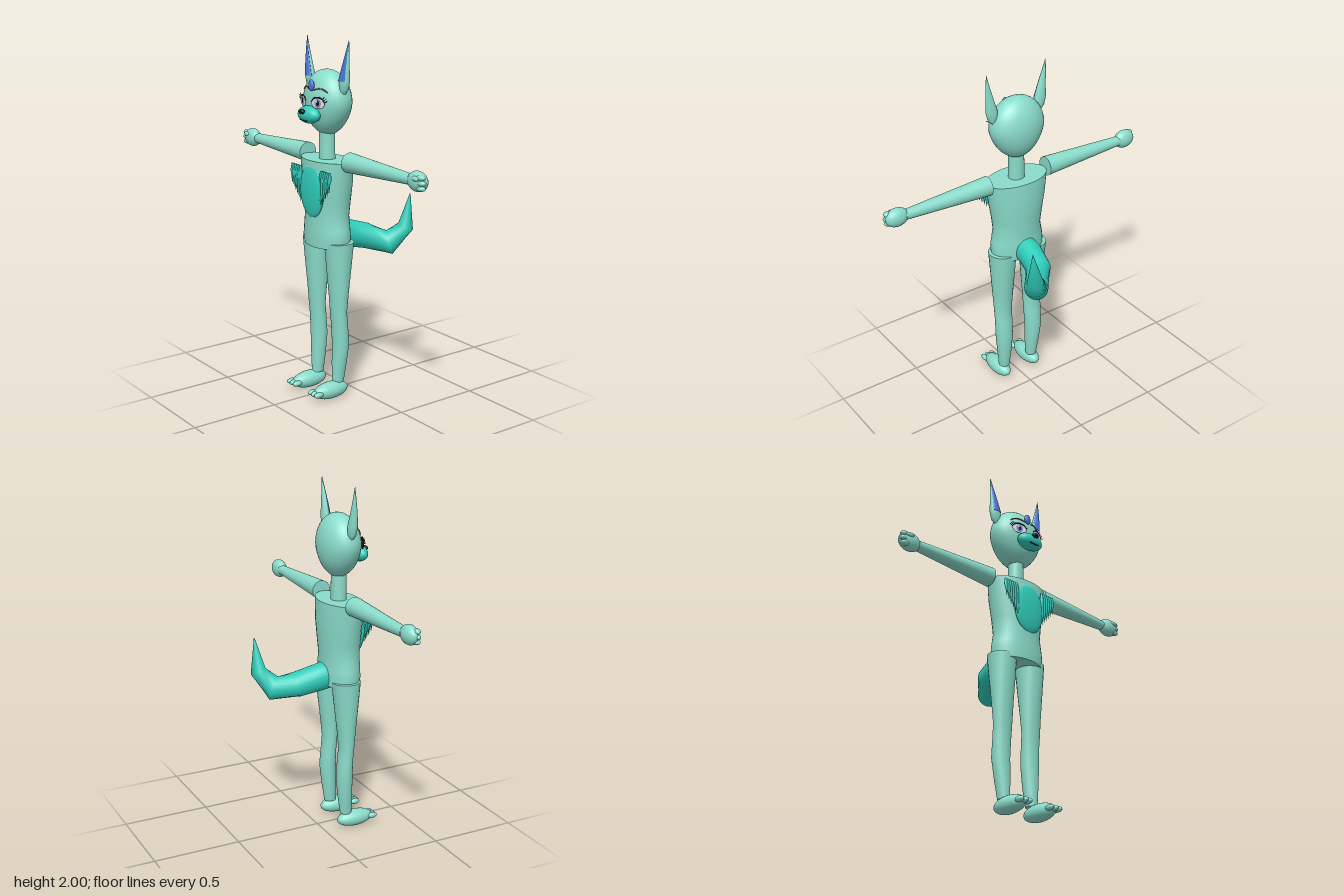
import * as THREE from 'three';

const mat = (name, color, side = THREE.FrontSide) => {
  const m = new THREE.MeshStandardMaterial({ color, side });
  m.name = name;
  return m;
};

// Lofts elliptical rings [x, y, z, ru, rv]; rings lie level, or square to the path when follow is set
function loft(rings, follow = false, n = 24) {
  const pos = [], idx = [];
  const centre = rings.map(r => new THREE.Vector3(r[0], r[1], r[2]));
  rings.forEach((r, i) => {
    const d = new THREE.Vector3(0, 1, 0);
    if (follow) {
      d.set(0, 0, 0);
      if (i > 0) d.add(centre[i].clone().sub(centre[i - 1]).normalize());
      if (i < rings.length - 1) d.add(centre[i + 1].clone().sub(centre[i]).normalize());
      d.normalize();
    }
    const u = new THREE.Vector3(1, 0, 0).addScaledVector(d, -d.x).normalize();
    const v = u.clone().cross(d);
    for (let j = 0; j < n; j++) {
      const a = j / n * Math.PI * 2;
      const p = centre[i].clone().addScaledVector(u, r[3] * Math.cos(a)).addScaledVector(v, r[4] * Math.sin(a));
      pos.push(p.x, p.y, p.z);
    }
  });
  for (let i = 0; i < rings.length - 1; i++) for (let j = 0; j < n; j++) {
    const k = (j + 1) % n, a = i * n + j, b = i * n + k;
    idx.push(a, a + n, b, b, a + n, b + n);
  }
  // flat end caps with their own vertices
  [0, rings.length - 1].forEach((i, end) => {
    const s = pos.length / 3;
    pos.push(...centre[i].toArray(), ...pos.slice(i * n * 3, (i + 1) * n * 3));
    for (let j = 0; j < n; j++) {
      const a = s + 1 + j, b = s + 1 + (j + 1) % n;
      end ? idx.push(s, b, a) : idx.push(s, a, b);
    }
  });
  const g = new THREE.BufferGeometry();
  g.setAttribute('position', new THREE.Float32BufferAttribute(pos, 3));
  g.setIndex(idx);
  g.computeVertexNormals();
  return g;
}

// Front surfaces of the head and muzzle, for laying details on them
const headRadius = y => {
  const t = (y - 1.66) / (y > 1.66 ? 0.175 : 0.18);
  const c = Math.sqrt(Math.max(0, 1 - t * t));
  return [0.165 * c * (t < 0 ? 1 + 0.2 * t : 1), 0.113 * c];
};
const headZ = (x, y) => {
  const [a, b] = headRadius(y);
  return 0.128 + b * Math.sqrt(Math.max(0, 1 - (x / a) ** 2));
};
const muzzleZ = (x, y) => 0.25 + 0.045 * Math.sqrt(Math.max(0, 1 - (x / 0.085) ** 2 - ((y - 1.6) / 0.047) ** 2));

export function createModel() {
  const root = new THREE.Group();
  const mint = mat('mint fur', 0x8adccb);
  const teal = mat('teal fur', 0x2fcdbb);
  const blue = mat('blue', 0x4a78d8);
  const black = mat('black', 0x1a1218, THREE.DoubleSide);
  const white = mat('eye white', 0xf4f0f4);
  const brown = mat('brow brown', 0x8a4a48);
  const iris = mat('iris blue', 0x6f9be8);

  const add = (name, geo, m, parent = root) => {
    const mesh = new THREE.Mesh(geo, m);
    mesh.name = name;
    parent.add(mesh);
    return mesh;
  };
  const ball = (name, m, p, r, parent = root) => {
    const b = add(name, new THREE.SphereGeometry(1, 24, 16), m, parent);
    b.position.set(...p);
    b.scale.set(...r);
    return b;
  };
  const line = (name, m, pts, r, parent = root) => add(name, new THREE.TubeGeometry(
    new THREE.CatmullRomCurve3(pts.map(p => new THREE.Vector3(...p))), 14, r, 6), m, parent);

  // torso and neck
  add('torso', loft([
    [0, 0.87, 0.135, 0.158, 0.105], [0, 0.92, 0.135, 0.165, 0.108], [0, 0.97, 0.135, 0.16, 0.106],
    [0, 1.04, 0.135, 0.146, 0.106], [0, 1.12, 0.134, 0.155, 0.112], [0, 1.24, 0.133, 0.176, 0.118],
    [0, 1.35, 0.133, 0.19, 0.112]], false, 32), mint);
  add('neck', loft([[0, 1.33, 0.132, 0.047, 0.043], [0, 1.52, 0.132, 0.043, 0.043]]), mint);

  // egg-shaped head
  const headRings = [];
  for (let i = 0; i <= 20; i++) {
    const y = 1.66 - 0.178 * Math.cos(i / 20 * Math.PI);
    const [a, b] = headRadius(y);
    headRings.push([0, y, 0.128, Math.max(a, 0.001), Math.max(b, 0.001)]);
  }
  add('head', loft(headRings, false, 32), mint);

  // muzzle, nose, mouth and forehead gem
  ball('muzzle', teal, [0, 1.6, 0.25], [0.085, 0.047, 0.045]);
  ball('nose', black, [0, 1.621, 0.296], [0.021, 0.014, 0.014]);
  line('mouth', black, [-0.033, -0.016, 0, 0.016, 0.033].map(x => {
    const y = 1.571 + 3 * x * x;
    return [x, y, muzzleZ(x, y) + 0.001];
  }), 0.003);
  ball('foreheadGem', blue, [0, 1.755, headZ(0, 1.755) + 0.01], [0.021, 0.031, 0.013]);

  // belly patch
  ball('bellyPatch', teal, [0, 1.182, 0.235], [0.105, 0.148, 0.026]);

  // tail
  add('tail', loft([
    [0, 0.92, 0.06, 0.07, 0.08], [0, 0.91, 0, 0.07, 0.078], [0.025, 0.882, -0.11, 0.07, 0.072],
    [0.115, 0.845, -0.215, 0.066, 0.07], [0.172, 0.94, -0.285, 0.045, 0.045],
    [0.195, 1.13, -0.295, 0.002, 0.002]], true), teal);

  for (const s of [1, -1]) {
    const side = s > 0 ? 'left' : 'right';
    const part = name => {
      const g = new THREE.Group();
      g.name = side + name;
      root.add(g);
      return g;
    };

    // ear with a blue inner face
    const ear = part('Ear');
    const earRings = [
      [0.145, 1.715, 0.13, 0.014, 0.012], [0.15, 1.74, 0.13, 0.03, 0.022], [0.156, 1.785, 0.13, 0.035, 0.025],
      [0.168, 1.86, 0.13, 0.023, 0.017], [0.179, 1.93, 0.128, 0.012, 0.009], [0.188, 2, 0.125, 0.001, 0.001]];
    add('earShell', loft(earRings.map(([x, ...r]) => [s * x, ...r])), mint, ear);
    add('innerEar', loft(earRings.slice(2).map(([x, y, z, a, b]) =>
      [s * (x - a * 0.08), y, z + b * 0.62, a * 0.8, b * 0.5])), blue, ear);

    // layered eye
    const eye = part('Eye');
    eye.position.set(s * 0.068, 1.667, headZ(0.068, 1.667) + 0.008);
    eye.rotation.y = s * 0.29;
    const disc = (name, m, x, y, a, b, z) => {
      const d = add(name, new THREE.CircleGeometry(1, 28), m, eye);
      d.scale.set(a, b, 1);
      d.position.set(x, y, z);
    };
    disc('eyeOutline', black, 0, 0, 0.045, 0.031, 0);
    disc('eyeWhite', white, 0, -0.001, 0.042, 0.027, 0.0015);
    disc('iris', iris, 0, 0, 0.021, 0.026, 0.003);
    disc('pupil', black, 0, 0, 0.01, 0.016, 0.0045);
    disc('glint', white, -0.007, 0.01, 0.006, 0.007, 0.006);
    line('upperLid', black, [[-0.044, 0.006, 0.002], [-0.025, 0.026, 0.002], [0, 0.032, 0.002],
      [0.025, 0.026, 0.002], [0.046, 0.006, 0.002]], 0.003, eye);
    for (let i = 0; i < 3; i++) {
      const x = s * (0.044 - i * 0.009), y = 0.006 + i * 0.009;
      line('lash', black, [[x, y, 0.002], [x + s * 0.01, y + 0.004, 0.003], [x + s * 0.017, y + 0.011, 0.003]], 0.0015, eye);
    }
    line(side + 'Brow', brown, [[0.022, 1.732], [0.045, 1.74], [0.075, 1.74], [0.108, 1.724]]
      .map(([x, y]) => [s * x, y, headZ(x, y) + 0.002]), 0.0035);

    // chest feathers, longer towards the middle
    const feathers = part('ChestFeathers');
    for (let i = 0; i < 6; i++) {
      const x = 0.172 - i * 0.016, bottom = 1.2 - i * 0.018;
      add('feather', loft([
        [s * x, bottom, 0.245, 0.001, 0.001], [s * x, bottom + 0.05, 0.245, 0.009, 0.006],
        [s * (x + 0.003), 1.27, 0.243, 0.013, 0.009], [s * (x + 0.004), 1.308, 0.24, 0.006, 0.005]], false, 10), teal, feathers);
    }

    // arm, hand and fingers
    const arm = add(side + 'Arm', new THREE.CylinderGeometry(0.028, 0.055, 0.52, 24), mint);
    arm.rotation.z = -s * Math.PI / 2;
    arm.position.set(s * 0.452, 1.355, 0.125);
    const hand = part('Hand');
    ball('palm', mint, [s * 0.757, 1.355, 0.128], [0.067, 0.053, 0.04], hand);
    for (let i = 0; i < 3; i++)
      ball('finger', mint, [s * (0.802 - Math.abs(i - 1) * 0.004), 1.327 + i * 0.027, 0.142], [0.028, 0.015, 0.02], hand);
    ball('thumb', mint, [s * 0.775, 1.375, 0.16], [0.025, 0.013, 0.013], hand);

    // leg, foot and toes
    add(side + 'Leg', loft([
      [0.098, 0.09, 0.135, 0.031, 0.034], [0.1, 0.2, 0.127, 0.043, 0.042], [0.104, 0.32, 0.12, 0.053, 0.046],
      [0.102, 0.42, 0.126, 0.054, 0.043], [0.102, 0.5, 0.133, 0.056, 0.042], [0.102, 0.6, 0.132, 0.062, 0.051],
      [0.102, 0.75, 0.13, 0.071, 0.068], [0.102, 0.9, 0.128, 0.081, 0.083]].map(([x, ...r]) => [s * x, ...r])), mint);
    const foot = part('Foot');
    ball('sole', mint, [s * 0.105, 0.051, 0.19], [0.05, 0.048, 0.112], foot);
    for (let i = -1; i <= 1; i++)
      ball('toe', mint, [s * 0.105 + i * 0.029, 0.052, 0.294 - Math.abs(i) * 0.002], [0.016, 0.016, 0.03], foot);
  }
  return root;
}
